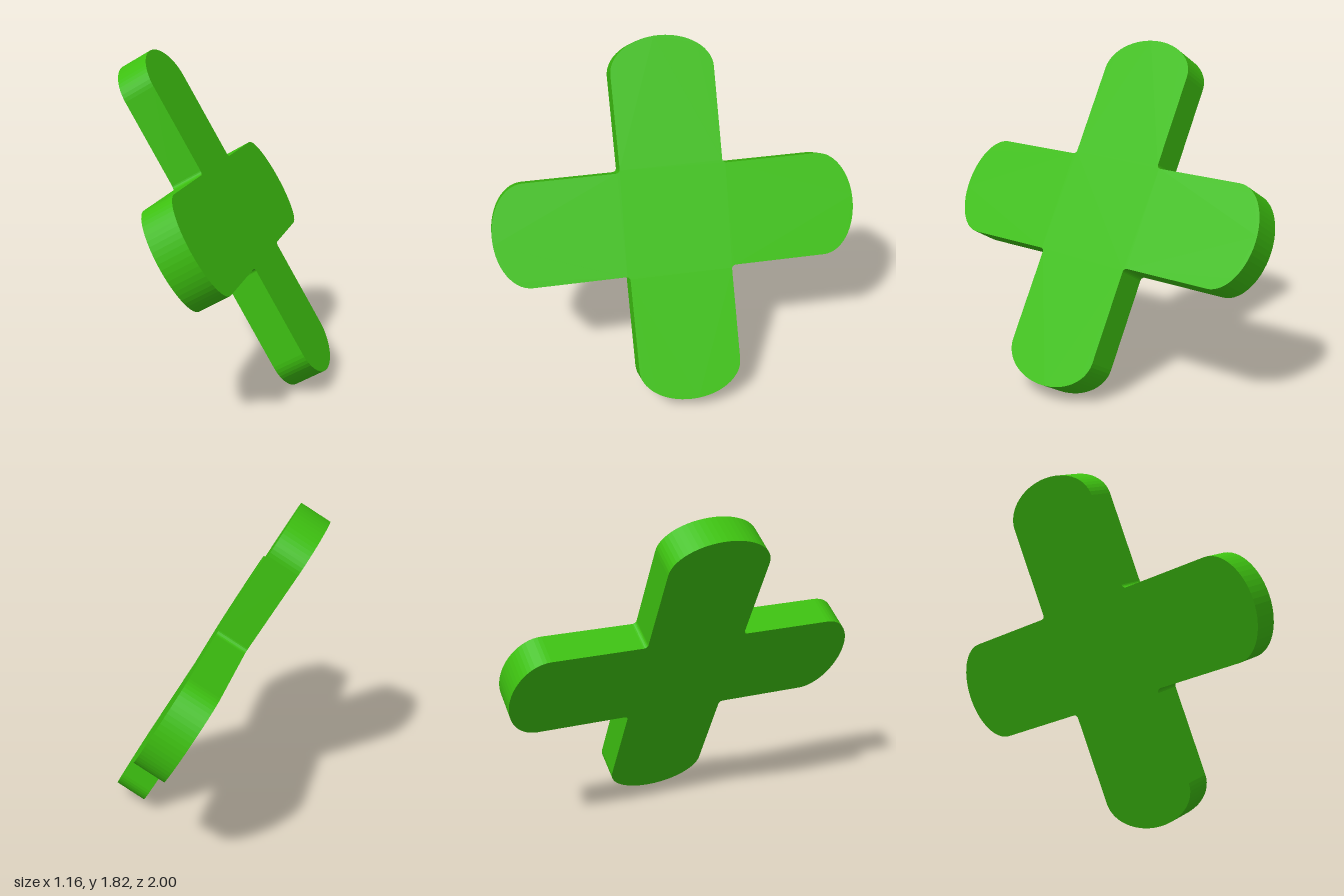
import * as THREE from 'three';

const ARM = 1;          // centre to arm tip
const HALF = 0.283;     // half the arm width
const TIP = 0.19;       // depth of the rounded tip
const FILLET = 0.022;   // radius of the inner corners
const THICK = 0.18;

// Outline of the cross: one arm (rounded tip and inner corner) turned four times
function crossShape() {
  const arm = [];
  const tipSteps = 28, filletSteps = 5;
  for (let i = 0; i <= tipSteps; i++) {
    const a = -Math.PI / 2 + Math.PI * i / tipSteps;
    arm.push(new THREE.Vector2(ARM - TIP + TIP * Math.cos(a), HALF * Math.sin(a)));
  }
  const c = HALF + FILLET;
  for (let i = 0; i <= filletSteps; i++) {
    const a = -Math.PI / 2 - (Math.PI / 2) * i / filletSteps;
    arm.push(new THREE.Vector2(c + FILLET * Math.cos(a), c + FILLET * Math.sin(a)));
  }
  const points = [];
  const origin = new THREE.Vector2();
  for (let k = 0; k < 4; k++) {
    for (const p of arm) points.push(p.clone().rotateAround(origin, k * Math.PI / 2));
  }
  return new THREE.Shape(points);
}

export function createModel() {
  const group = new THREE.Group();
  group.name = 'tiltedCross';

  const green = new THREE.MeshStandardMaterial({ color: 0x3dc010 });
  green.name = 'leaf green';

  // Flat plate, turned to face the side and leaned back by 30 degrees
  const geometry = new THREE.ExtrudeGeometry(crossShape(), { depth: THICK, bevelEnabled: false });
  geometry.translate(0, 0, -THICK / 2);
  geometry.rotateY(Math.PI / 2);
  geometry.rotateZ(Math.PI / 6);
  geometry.computeBoundingBox();
  geometry.translate(0, -geometry.boundingBox.min.y, 0);

  const plate = new THREE.Mesh(geometry, green);
  plate.name = 'crossPlate';
  group.add(plate);
  return group;
}
